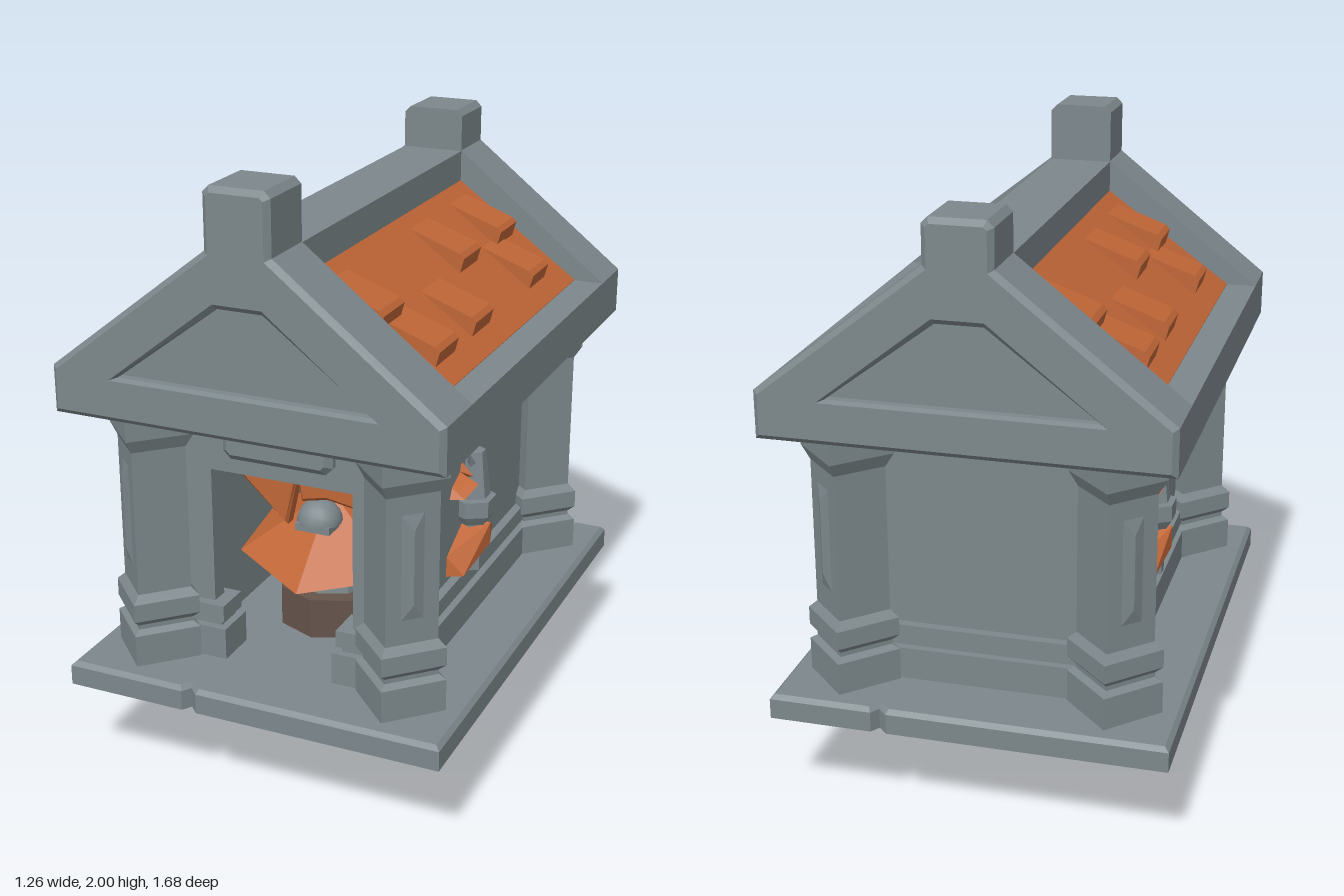
import * as THREE from 'three';
import { ConvexGeometry } from 'three/addons/geometries/ConvexGeometry.js';

const mat = (name, color, side = THREE.FrontSide) => {
  const m = new THREE.MeshStandardMaterial({ color, side });
  m.name = name;
  return m;
};

export function createModel() {
  const stone = mat('grey stone', 0x7d888c);
  const clay = mat('orange clay', 0xc06637, THREE.DoubleSide);
  const earth = mat('brown rock', 0x65544a);
  const root = new THREE.Group();
  root.name = 'shrine';

  const add = (parent, name, geo, material, x = 0, y = 0, z = 0) => {
    const mesh = new THREE.Mesh(geo, material);
    mesh.name = name;
    mesh.position.set(x, y, z);
    parent.add(mesh);
    return mesh;
  };
  const group = (name, rotY = 0) => {
    const g = new THREE.Group();
    g.name = name;
    g.rotation.y = rotY;
    root.add(g);
    return g;
  };
  const flat = (geo) => {
    const g = geo.index ? geo.toNonIndexed() : geo;
    g.computeVertexNormals();
    return g;
  };
  const hull = (pts) => new ConvexGeometry(pts.map((p) => new THREE.Vector3(...p)));
  const shape = (pts) => new THREE.Shape(pts.map((p) => new THREE.Vector2(...p)));
  // Extrusion from z = 0 to z = depth, with an optional bevel kept inside the outline
  const extrude = (s, depth, bevel = 0) => {
    const g = new THREE.ExtrudeGeometry(s, {
      depth: depth - 2 * bevel, bevelEnabled: bevel > 0, bevelSegments: 1,
      bevelSize: bevel, bevelThickness: bevel, bevelOffset: -bevel,
    });
    return g.translate(0, 0, bevel);
  };
  // Box given by its limits
  const box = (parent, name, x0, x1, y0, y1, z0, z1, material = stone) =>
    add(parent, name, new THREE.BoxGeometry(x1 - x0, y1 - y0, z1 - z0), material,
      (x0 + x1) / 2, (y0 + y1) / 2, (z0 + z1) / 2);

  // Rock under the floor: chamfered sides running down to a rectangular foot
  const rock = [];
  for (const sx of [-1, 1]) for (const sz of [-1, 1]) {
    for (const [y, a, b] of [[0.225, 0.24, 0.34], [0.07, 0.22, 0.31]])
      rock.push([sx * a, y, sz * b * 0.8], [sx * a * 0.68, y, sz * b]);
    rock.push([sx * 0.205, 0, sz * 0.22]);
  }
  add(root, 'foundationRock', hull(rock), earth);

  // Floor slabs, the upper one with a small chip at front and back
  box(root, 'lowerSlab', -0.42, 0.42, 0.215, 0.325, -0.42, 0.42);
  const W = 0.63, D = 0.84;
  const floor = shape([
    [-W, -D], [-0.23, -D], [-0.21, -D + 0.03], [-0.18, -D], [W, -D],
    [W, D], [0.3, D], [0.28, D - 0.03], [0.25, D], [-W, D],
  ]);
  add(root, 'floorSlab', extrude(floor, 0.064).rotateX(-Math.PI / 2), stone, 0, 0.32, 0);
  add(root, 'floorSurface', extrude(floor, 0.03, 0.014).rotateX(-Math.PI / 2), stone, 0, 0.37, 0);

  // Walls, with a doorway cut in the front
  const wx = 0.385, wz = 0.585, t = 0.06;
  const front = shape([
    [-wx, 0.39], [-0.24, 0.39], [-0.24, 1.035], [0.24, 1.035], [0.24, 0.39],
    [wx, 0.39], [wx, 1.26], [-wx, 1.26],
  ]);
  add(root, 'frontWall', extrude(front, t), stone, 0, 0, wz - t);
  box(root, 'backWall', -wx, wx, 0.39, 1.26, -wz, -wz + t);
  for (const s of [-1, 1])
    box(root, 'sideWall', s > 0 ? wx - t : -wx, s > 0 ? wx : -wx + t, 0.39, 1.26, -wz, wz);

  // Two skirting bands around the walls; the front ones wrap into the doorway
  for (const [y0, y1, o] of [[0.39, 0.505, 0.04], [0.505, 0.525, 0.015], [0.525, 0.58, 0.03]]) {
    box(root, 'backSkirting', -wx, wx, y0, y1, -wz - o, -wz);
    for (const s of [-1, 1]) {
      const [a, b] = s > 0 ? [wx, wx + o] : [-wx - o, -wx];
      box(root, 'sideSkirting', a, b, y0, y1, -wz, wz);
      const inner = 0.225 - o;
      const [c, d] = s > 0 ? [inner, wx] : [-wx, -inner];
      box(root, 'frontSkirting', c, d, y0, y1, wz - t - o, wz + o);
    }
  }

  // Plaque over the door
  const plaque = shape([
    [-0.185, 1.115], [-0.16, 1.09], [0.16, 1.09], [0.185, 1.115],
    [0.185, 1.17], [0.16, 1.195], [-0.16, 1.195], [-0.185, 1.17],
  ]);
  add(root, 'doorPlaque', extrude(plaque, 0.06, 0.022), stone, 0, 0, wz - 0.02);

  // Corner columns: four-sided, turned so one face points out of the corner
  const profile = [
    [0, 0.39], [0.15, 0.39], [0.15, 0.505], [0.125, 0.52], [0.125, 0.535], [0.15, 0.555],
    [0.15, 0.615], [0.121, 0.64], [0.121, 1.12], [0.15, 1.165], [0.15, 1.255],
  ].map((p) => new THREE.Vector2(...p));
  const inset = hull([
    [-0.036, 0.72, 0], [0.036, 0.72, 0], [-0.036, 1.06, 0], [0.036, 1.06, 0], [0, 0.77, 0.012], [0, 1.01, 0.012],
  ]);
  for (const sx of [-1, 1]) for (const sz of [-1, 1]) {
    const column = group('cornerColumn');
    column.position.set(sx * 0.42, 0, sz * 0.633);
    add(column, 'columnShaft', flat(new THREE.LatheGeometry(profile, 4)), stone);
    const r = 0.121 / 2;
    add(column, 'columnPanel', inset, stone, sx * r, 0, sz * r).rotation.y = Math.atan2(sx, sz);
  }

  // Roof core with flat eaves and a ridge beam
  const halfRoof = [[W, 1.25], [W, 1.4], [0.53, 1.4], [0.105, 1.7], [0.105, 1.81]];
  const mirrored = (pts) => [...pts, ...pts.map(([x, y]) => [-x, y]).reverse()];
  add(root, 'roofCore', extrude(shape(mirrored(halfRoof)), 1.28), stone, 0, 0, -0.64);

  // Gable ends with a sunken panel and a chamfered post on top
  for (const [rot, top] of [[0, 2.0], [Math.PI, 1.95]]) {
    const gable = group('gableEnd', rot);
    const outline = mirrored([[W, 1.25], [W, 1.4], [0.105, 1.812], [0.105, top - 0.02], [0.085, top]]);
    add(gable, 'gableBody', extrude(shape(outline), 0.165), stone, 0, 0, 0.632);
    const frame = shape(outline);
    frame.holes.push(new THREE.Path(mirrored([[0.41, 1.39], [0.072, 1.645]]).map((p) => new THREE.Vector2(...p))));
    add(gable, 'gableFrame', extrude(frame, 0.075, 0.017), stone, 0, 0, 0.765);
  }

  // Roof faces with loose wedge tiles; the second side is the first turned half around
  const tile = extrude(shape([[0.13, 1.684], [0.318, 1.615], [0.333, 1.6], [0.318, 1.545]]), 0.155);
  const cover = extrude(shape([[0.53, 1.395], [0.53, 1.402], [0.105, 1.708], [0.105, 1.7]]), 1.264);
  for (const rot of [0, Math.PI]) {
    const side = group('roofSide', rot);
    add(side, 'roofCover', cover, clay, 0, 0, -0.632);
    for (const z of [-0.495, -0.15, 0.495]) add(side, 'upperTile', tile, clay, 0, 0, z - 0.0775);
    for (const z of [-0.405, 0.13, 0.43]) add(side, 'lowerTile', tile, clay, 0.148, -0.108, z - 0.0775);
  }

  // Side wall ornaments: grey stem and collar with orange leaves, thickest at the middle
  const wings = [
    [[0, 0.75, 0], [0, 0.67, 0], [0, 0.74, 0.09], [0, 0.665, 0.09], [0.17, 0.6, 0], [0.165, 0.67, 0], [0.16, 0.61, 0.06]],
    [[0, 0.75, 0], [0, 0.67, 0], [0, 0.74, 0.09], [0, 0.665, 0.09], [-0.19, 0.645, 0], [-0.19, 0.645, 0.03]],
    [[0.15, 0.865, 0], [0.13, 0.9, 0], [0.06, 0.93, 0], [0.03, 0.895, 0], [0.07, 0.9, 0.07], [0.14, 0.87, 0.05]],
    [[0.06, 0.93, 0], [0.03, 0.9, 0], [0.05, 0.965, 0], [0.06, 0.92, 0.05]],
  ].map((pts) => hull(pts.map(([z, y, out]) => [out, y, z])));
  for (const rot of [0, Math.PI]) {
    const ornament = group('wallOrnament', rot);
    const x = wx + 0.025;
    add(ornament, 'ornamentStem', flat(new THREE.CylinderGeometry(0.04, 0.04, 0.18, 6)), stone, x, 0.66, 0);
    add(ornament, 'ornamentCollar', flat(new THREE.CylinderGeometry(0.078, 0.078, 0.055, 6)), stone, x, 0.8, 0);
    add(ornament, 'collarFoot', flat(new THREE.CylinderGeometry(0.078, 0.055, 0.035, 6)), stone, x, 0.757, 0);
    add(ornament, 'ornamentSpire', flat(new THREE.CylinderGeometry(0.035, 0.055, 0.16, 6)), stone, x, 0.905, -0.01);
    add(ornament, 'ornamentTip', flat(new THREE.ConeGeometry(0.02, 0.07, 4)), stone, x, 0.965, 0.03).rotation.x = 0.6;
    for (const wing of wings) add(ornament, 'ornamentLeaf', wing, clay, wx - 0.002);
  }

  // Altar inside: brown plinth, grey neck, orange petals above and below a small dome
  const altar = group('altar');
  add(altar, 'altarPlinth', flat(new THREE.CylinderGeometry(0.185, 0.185, 0.14, 8)), earth, 0, 0.465, 0.2);
  add(altar, 'altarNeck', flat(new THREE.CylinderGeometry(0.11, 0.13, 0.14, 8)), stone, 0, 0.6, 0.2);
  for (const sx of [-1, 1]) box(altar, 'altarPost', sx * 0.16 - 0.015, sx * 0.16 + 0.015, 0.4, 0.68, 0.13, 0.16);
  add(altar, 'lowerPetals', flat(new THREE.ConeGeometry(0.32, 0.19, 6)), clay, 0, 0.77, 0.2).rotation.x = 0.22;
  add(altar, 'altarDome', new THREE.SphereGeometry(0.075, 12, 6, 0, Math.PI * 2, 0, Math.PI / 2), stone, 0, 0.79, 0.31);
  box(altar, 'domeBase', -0.06, 0.06, 0.77, 0.795, 0.26, 0.37);
  const petals = shape([
    [-0.31, 1.05], [-0.3, 0.95], [-0.235, 0.93], [-0.08, 0.79], [-0.04, 0.98],
    [-0.03, 0.88], [0.06, 0.9], [0.24, 0.87], [0.31, 0.9], [0.31, 1.05],
  ]);
  add(altar, 'upperPetals', extrude(petals, 0.06, 0.012), clay, 0, 0, 0.33);

  return root;
}
